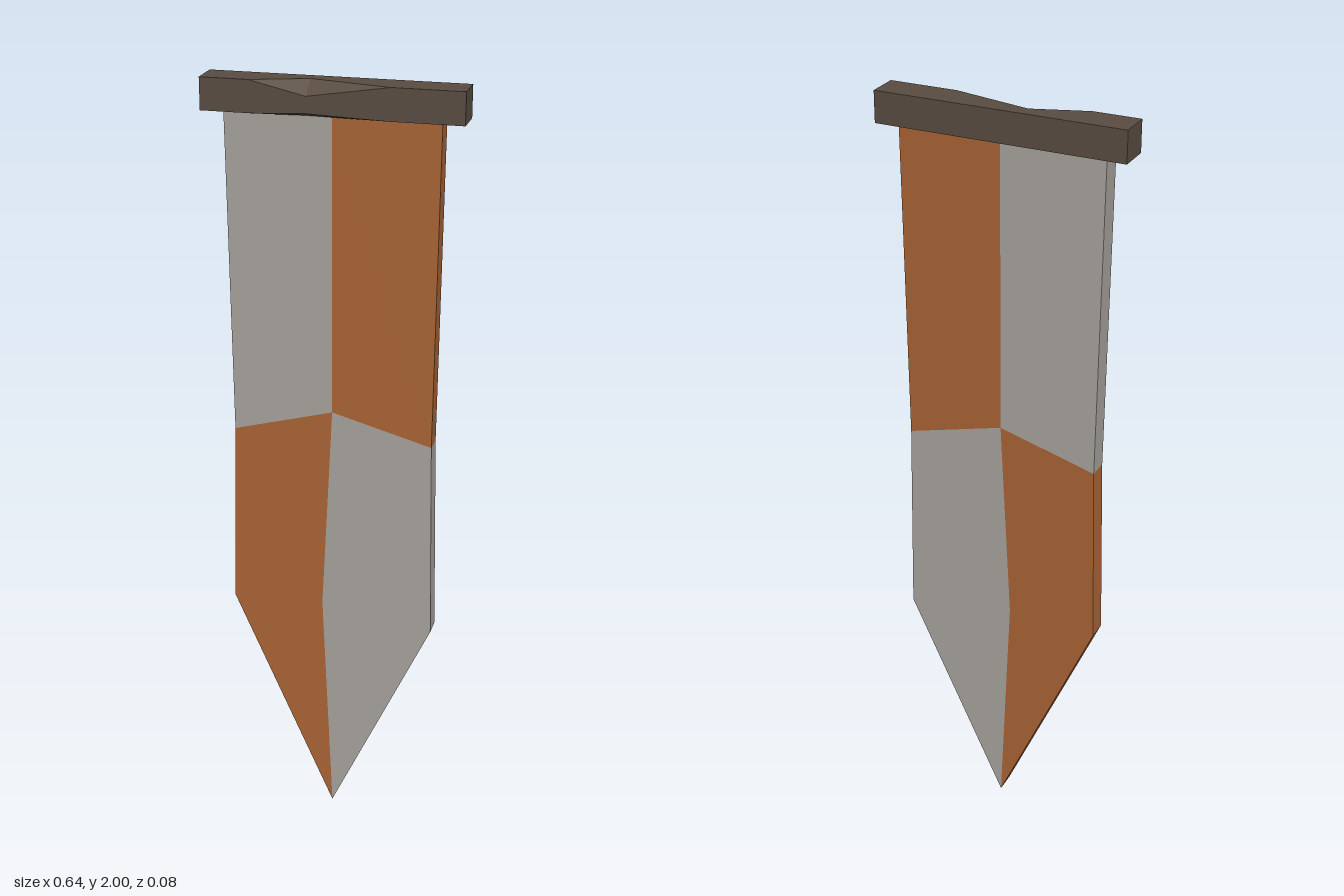
import * as THREE from 'three';

const material = (name, color) => {
  const m = new THREE.MeshStandardMaterial({ color });
  m.name = name;
  return m;
};

// Non-indexed geometry, so every facet stays flat
function facets(triangles) {
  const g = new THREE.BufferGeometry();
  g.setAttribute('position', new THREE.Float32BufferAttribute(triangles.flat(2), 3));
  g.computeVertexNormals();
  return g;
}

// Flat cloth panel: counterclockwise outline, with walls only on its first `walls` edges
function panelGeometry(outline, walls, half = 0.027) {
  const pts = outline.map(([x, y]) => new THREE.Vector2(x, y));
  const at = (i, z) => [pts[i % pts.length].x, pts[i % pts.length].y, z];
  const tris = [];
  for (const [a, b, c] of THREE.ShapeUtils.triangulateShape(pts, [])) {
    tris.push([at(a, half), at(b, half), at(c, half)]);
    tris.push([at(a, -half), at(c, -half), at(b, -half)]);
  }
  for (let i = 0; i < walls; i++) {
    const a = at(i, -half), b = at(i + 1, -half), c = at(i + 1, half), d = at(i, half);
    tris.push([a, b, c], [a, c, d]);
  }
  return facets(tris);
}

// Hanging bar: six-sided sections along x, whose front edges are chipped in the middle
function barGeometry() {
  const d = 0.042, y0 = 1.92, y1 = 2;
  const section = (x, topIn, topDown, lowIn, lowUp) => [
    [x, y0, -d], [x, y0, d - lowIn], [x, y0 + lowUp, d],
    [x, y1 - topDown, d], [x, y1, d - topIn], [x, y1, -d],
  ];
  const rings = [
    section(-0.322, 0, 0, 0, 0),
    section(-0.2, 0, 0, 0, 0),
    section(-0.06, 0.047, 0.032, 0.012, 0.007),
    section(0.145, 0, 0, 0, 0),
    section(0.322, 0, 0, 0, 0),
  ];
  const tris = [];
  const add = (a, b, c) => {
    const [p, q, r] = [a, b, c].map((v) => new THREE.Vector3(...v));
    if (q.sub(p).cross(r.sub(p)).length() > 1e-7) tris.push([a, b, c]);
  };
  for (let i = 0; i < rings.length - 1; i++) {
    const r = rings[i], s = rings[i + 1];
    for (let j = 0; j < 6; j++) {
      const k = (j + 1) % 6;
      add(r[j], s[j], s[k]);
      add(r[j], s[k], r[k]);
    }
  }
  const first = rings[0], last = rings[rings.length - 1];
  for (let j = 1; j < 5; j++) {
    add(first[0], first[j], first[j + 1]);
    add(last[0], last[j + 1], last[j]);
  }
  return facets(tris);
}

export function createModel() {
  const group = new THREE.Group();
  const orange = material('orange cloth', 0xaa6536);
  const grey = material('grey cloth', 0xa8a49f);
  const wood = material('dark wood', 0x5a4d42);

  const add = (name, geometry, mat) => {
    const mesh = new THREE.Mesh(geometry, mat);
    mesh.name = name;
    group.add(mesh);
  };

  // Shared corners of the four cloth panels
  const top = 1.93;
  const centre = [0, 1.167], bend = [-0.027, 0.62], tip = [0, 0], topMid = [0, top];
  const rightSide = [-0.257, 1.097], leftSide = [0.257, 1.097];
  const rightTop = [-0.268, top], leftTop = [0.266, top];

  add('upperRightCloth', panelGeometry([topMid, rightTop, rightSide, centre], 2), grey);
  add('upperLeftCloth', panelGeometry([leftSide, leftTop, topMid, centre], 2), orange);
  add('lowerRightCloth', panelGeometry([rightSide, [-0.268, 0.61], tip, bend, centre], 2), orange);
  add('lowerLeftCloth', panelGeometry([tip, [0.266, 0.57], leftSide, centre, bend], 2), grey);

  // Wooden bar the cloth hangs from
  add('hangingBar', barGeometry(), wood);
  return group;
}
